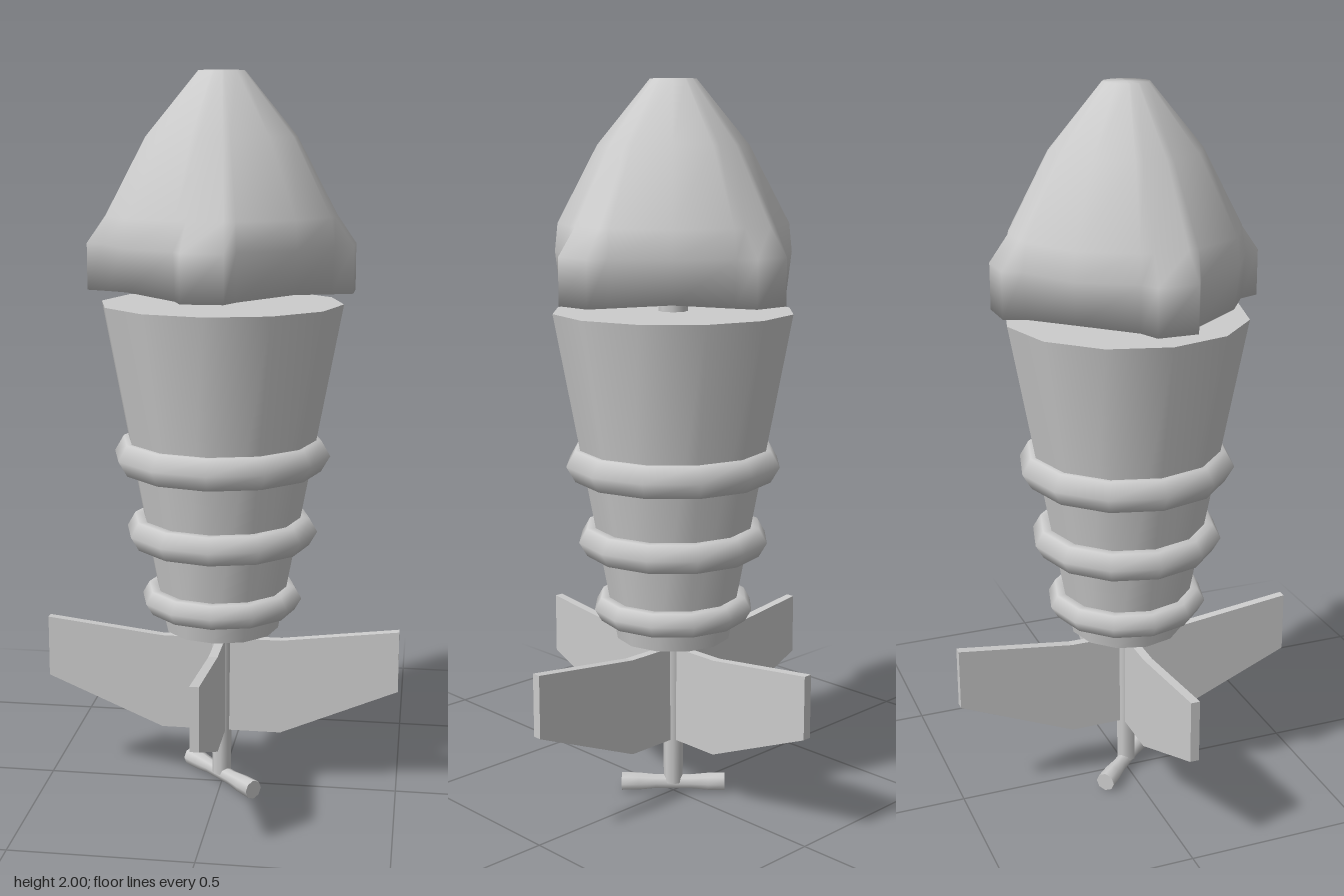
import * as THREE from 'three';
import { toCreasedNormals } from 'three/addons/utils/BufferGeometryUtils.js';

const grey = new THREE.MeshStandardMaterial({ color: 0xcccccc });

function add(parent, name, geometry) {
  const mesh = new THREE.Mesh(geometry, grey);
  mesh.name = name;
  parent.add(mesh);
  return mesh;
}

// Nose with four ribs: one 20-point cross-section per height, joined by quads
function noseGeometry() {
  // per ring: y at rib, y at diagonal, radius of rib corner, rib foot, diagonal
  const rings = [
    [1.425, 1.437, 0.362, 0.31, 0.305],
    [1.55, 1.55, 0.362, 0.32, 0.318],
    [1.625, 1.625, 0.31, 0.308, 0.31],
    [1.83, 1.83, 0.202, 0.202, 0.202],
    [2, 2, 0.062, 0.062, 0.062],
  ];
  const angles = [-14.5, -8.7, 8.7, 14.5, 45];
  const kinds = [3, 2, 2, 3, 4];
  const n = 20;
  const pos = [], index = [];
  for (const ring of rings) {
    for (let i = 0; i < n; i++) {
      const k = i % 5;
      const a = THREE.MathUtils.degToRad(angles[k] + 90 * Math.floor(i / 5));
      const r = ring[kinds[k]];
      pos.push(r * Math.sin(a), ring[k === 4 ? 1 : 0], r * Math.cos(a));
    }
  }
  for (let j = 0; j < rings.length - 1; j++) {
    for (let i = 0; i < n; i++) {
      const a = j * n + i, b = j * n + (i + 1) % n;
      index.push(a, b, b + n, a, b + n, a + n);
    }
  }
  // end caps
  const bottom = pos.length / 3, top = bottom + 1, last = (rings.length - 1) * n;
  pos.push(0, 1.437, 0, 0, 2, 0);
  for (let i = 0; i < n; i++) {
    const k = (i + 1) % n;
    index.push(bottom, k, i, top, last + i, last + k);
  }
  const g = new THREE.BufferGeometry();
  g.setAttribute('position', new THREE.Float32BufferAttribute(pos, 3));
  g.setIndex(index);
  g.computeVertexNormals();
  return g;
}

export function createModel() {
  const model = new THREE.Group();
  model.name = 'rocket';

  add(model, 'nose', noseGeometry());

  // Tapered body
  add(model, 'body', new THREE.CylinderGeometry(0.331, 0.16, 0.915, 12)).position.y = 0.9325;

  // Rings around the body: height, ring radius, tube radius
  for (const [y, radius, tube] of [[0.973, 0.25, 0.05], [0.758, 0.222, 0.045], [0.563, 0.187, 0.038]]) {
    add(model, 'ring', new THREE.TorusGeometry(radius, tube, 6, 12).rotateX(Math.PI / 2)).position.y = y;
  }

  // Central rod through the whole length
  add(model, 'rod', new THREE.CylinderGeometry(0.041, 0.027, 1.42, 8)).position.y = 0.74;

  // Four fins
  const outline = new THREE.Shape([
    [0, 0.165], [0.17, 0.165], [0.5, 0.305], [0.5, 0.48], [0.17, 0.44], [0, 0.44],
  ].map(([x, y]) => new THREE.Vector2(x, y)));
  const thickness = 0.025;
  const fin = new THREE.ExtrudeGeometry(outline, { depth: thickness, bevelEnabled: false })
    .translate(0, 0, -thickness / 2);
  for (let i = 0; i < 4; i++) add(model, 'fin', fin).rotation.y = i * Math.PI / 2;

  // Diagonal cross handle, flared at both ends
  const profile = [[0, -0.148], [0.027, -0.148], [0.026, -0.1], [0.021, -0.05], [0.021, 0.05],
    [0.026, 0.1], [0.027, 0.148], [0, 0.148]].map(([r, y]) => new THREE.Vector2(r, y));
  const handle = add(model, 'handle',
    toCreasedNormals(new THREE.LatheGeometry(profile, 8).rotateZ(Math.PI / 2), 0.9));
  handle.position.y = 0.028;
  handle.rotation.y = -Math.PI / 4;

  return model;
}
